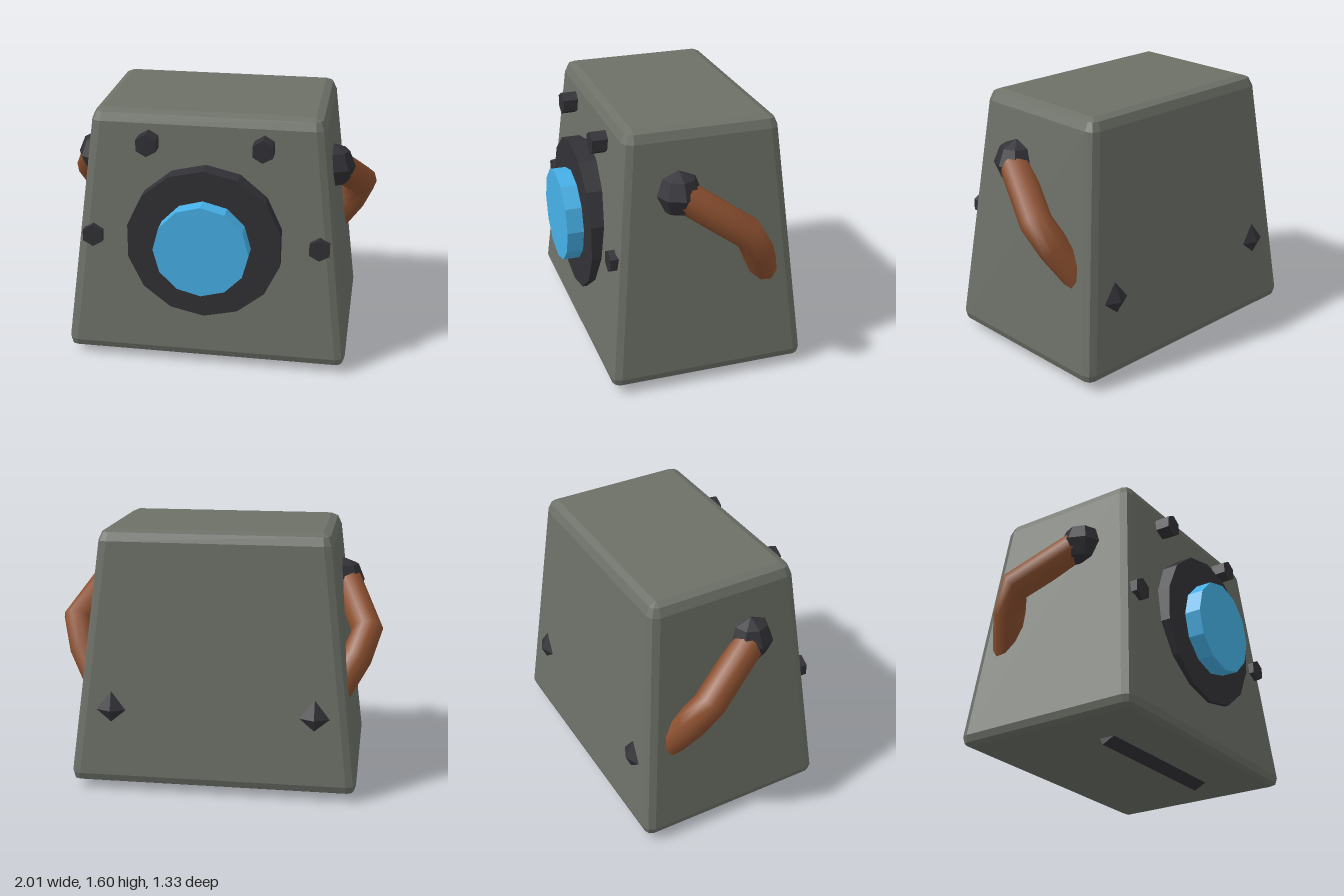
import * as THREE from 'three';

const mat = (color, flatShading = true, side = THREE.FrontSide) =>
  new THREE.MeshStandardMaterial({ color, flatShading, side });

// Tapered box with bevelled edges, lofted from rounded-rectangle rings
function taperedBody() {
  const R = 0.06, y0 = 0.1, y1 = 1.53, cz = -0.05;
  const rows = [[0.04, 1], [0.04, R], [0.058, 0.018], [y0, 0], [y1, 0], [1.582, 0.018], [1.6, R], [1.6, 1]];
  const pos = [], idx = [], N = 12;
  for (const [y, inset] of rows) {
    const t = (y - y0) / (y1 - y0);
    const w = THREE.MathUtils.lerp(0.878, 0.708, t), d = THREE.MathUtils.lerp(0.614, 0.477, t);
    const r = Math.max(R - inset, 0), shrink = inset === 1 ? 0 : 1; // inset 1 closes the cap
    for (let c = 0; c < 4; c++) {
      const sx = c === 0 || c === 3 ? 1 : -1, sz = c < 2 ? -1 : 1;
      for (let k = 0; k < 3; k++) {
        const a = (c + k / 2) * Math.PI / 2;
        pos.push(shrink * (sx * (w - R) + r * Math.cos(a)), y, cz + shrink * (sz * (d - R) - r * Math.sin(a)));
      }
    }
  }
  for (let j = 0; j < rows.length - 1; j++) {
    for (let i = 0; i < N; i++) {
      const a = j * N + i, b = j * N + (i + 1) % N;
      idx.push(a, b, b + N, a, b + N, a + N);
    }
  }
  const g = new THREE.BufferGeometry();
  g.setAttribute('position', new THREE.Float32BufferAttribute(pos, 3));
  g.setIndex(idx);
  g.computeVertexNormals();
  return g;
}

// Straight-segment path with one tube ring per point
class Polyline extends THREE.Curve {
  constructor(points) { super(); this.points = points; }
  getPoint(t, target = new THREE.Vector3()) {
    const n = this.points.length - 1, i = Math.min(Math.floor(t * n + 1e-9), n - 1);
    return target.lerpVectors(this.points[i], this.points[i + 1], t * n - i);
  }
  getPointAt(u, target) { return this.getPoint(u, target); }
  getTangentAt(u, target) { return this.getTangent(u, target); }
}

// Disc facing +z, between two depths
function disc(radius, sides, back, front) {
  return new THREE.CylinderGeometry(radius, radius, front - back, sides)
    .rotateX(Math.PI / 2).translate(0, 0, (front + back) / 2);
}

export function createModel() {
  const model = new THREE.Group();
  model.name = 'model';
  const dark = mat(0x323136), brown = mat(0x8c5030, false, THREE.DoubleSide);
  const add = (name, geometry, material, x = 0, y = 0, z = 0) => {
    const mesh = new THREE.Mesh(geometry, material);
    mesh.name = name;
    mesh.position.set(x, y, z);
    model.add(mesh);
    return mesh;
  };

  add('body', taperedBody(), mat(0x6c7067));

  // Round window on the front
  add('windowRim', disc(0.478, 14, 0.4, 0.565), dark, 0, 0.82);
  add('windowGlass', disc(0.29, 12, 0.5, 0.668), mat(0x46b1e8), 0, 0.82);

  // Tilted strip under the base
  add('baseStrip', new THREE.BoxGeometry(1.03, 0.08, 0.12), dark, 0, 0.0626, 0.161).rotation.x = -0.464;

  for (const s of [1, -1]) {
    const side = s > 0 ? 'left' : 'right';

    // Hexagonal bolts around the window
    add(side + 'UpperBolt', disc(0.07, 6, 0.4, 0.53), dark, s * 0.348, 1.425);
    add(side + 'LowerBolt', disc(0.07, 6, 0.4, 0.53), dark, s * 0.697, 0.82);

    // Pointed studs on the back
    add(side + 'BackStud', new THREE.ConeGeometry(0.135, 0.06, 4).rotateX(-Math.PI / 2),
      dark, s * 0.62, 0.51, -0.635);

    // Shoulder ball and bent arm, its end sunk into the body
    add(side + 'Shoulder', new THREE.SphereGeometry(0.14, 8, 4), dark, s * 0.735, 1.215, 0.11);
    const path = [[0.77, 1.2, 0.08], [0.908, 0.98, -0.26], [0.85, 0.83, -0.345], [0.7, 0.58, -0.46]]
      .map(([x, y, z]) => new THREE.Vector3(s * x, y, z));
    add(side + 'Arm', new THREE.TubeGeometry(new Polyline(path), 3, 0.097, 10), brown);
  }
  return model;
}
